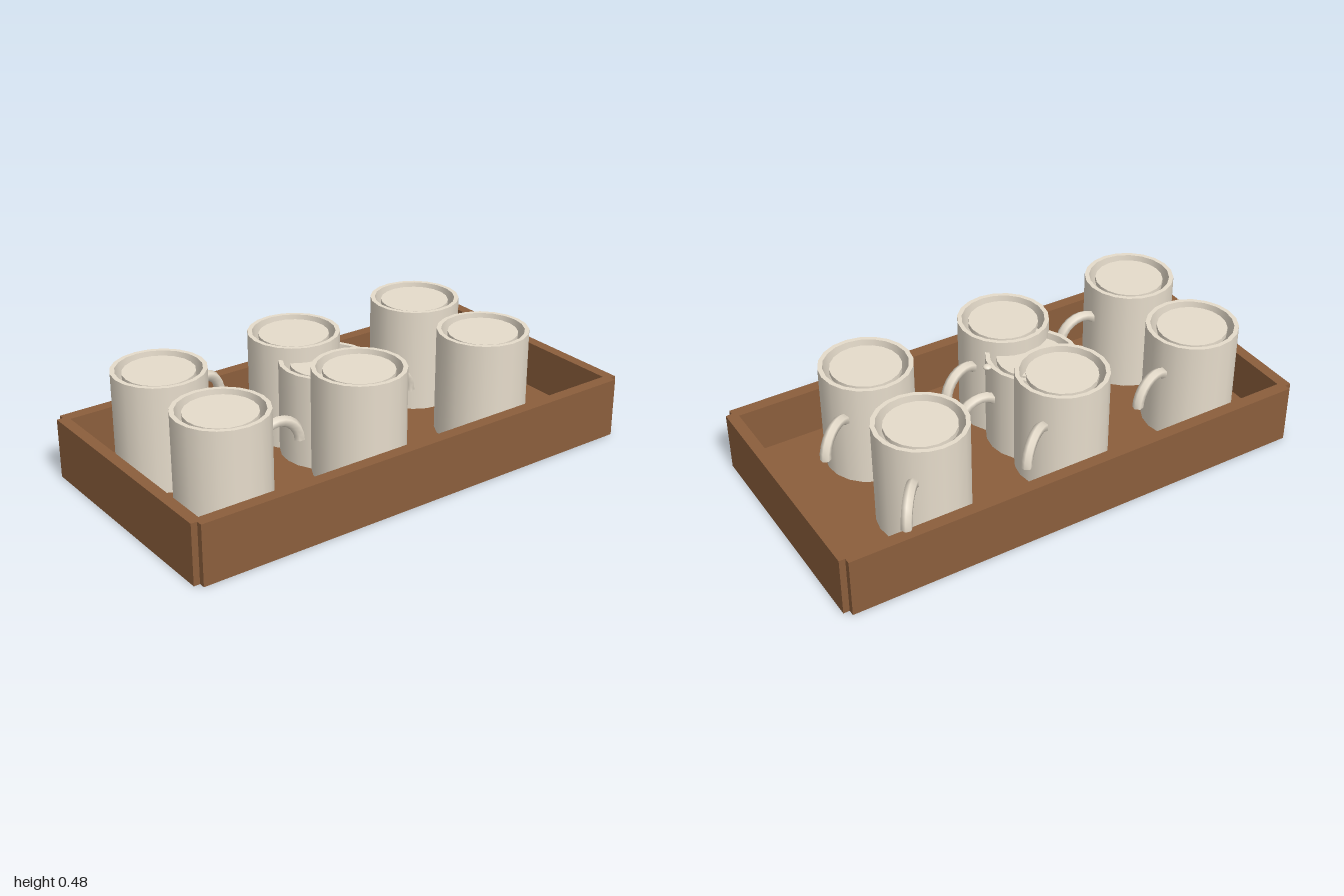
import * as THREE from 'three';

const wood = new THREE.MeshStandardMaterial({ color: 0x8b5e3c });
wood.name = 'wood';
const ceramic = new THREE.MeshStandardMaterial({ color: 0xe6dccb, side: THREE.DoubleSide });
ceramic.name = 'ceramic';

function addMesh(parent, name, geometry, material, x = 0, y = 0, z = 0) {
  const mesh = new THREE.Mesh(geometry, material);
  mesh.name = name;
  mesh.position.set(x, y, z);
  parent.add(mesh);
  return mesh;
}

// Tray: floor with four walls, stepped at the corners
function createTray() {
  const tray = new THREE.Group();
  tray.name = 'tray';
  addMesh(tray, 'trayFloor', new THREE.BoxGeometry(1.95, 0.05, 0.98), wood, 0, 0.025, 0);
  for (const s of [1, -1]) {
    addMesh(tray, s > 0 ? 'frontWall' : 'backWall',
      new THREE.BoxGeometry(1.95, 0.245, 0.05), wood, 0, 0.1225, s * 0.49);
    addMesh(tray, s > 0 ? 'leftWall' : 'rightWall',
      new THREE.BoxGeometry(0.045, 0.245, 0.98), wood, s * 0.9775, 0.1225, 0);
  }
  return tray;
}

// Lathe of separate profile strips, so that corners stay sharp
const SIDES = 20;
const strips = [
  ['cupBase', [0, 0], [0.183, 0]],
  ['cupWall', [0.183, 0], [0.183, 0.43]],
  ['cupRim', [0.183, 0.43], [0.165, 0.43]],
  ['cupInside', [0.165, 0.43], [0.135, 0.02]],
].map(([name, a, b]) => [name,
  new THREE.LatheGeometry([new THREE.Vector2(...a), new THREE.Vector2(...b)], SIDES)]);
const fillGeometry = new THREE.CylinderGeometry(0.139, 0.139, 0.02, SIDES);
const handleGeometry = new THREE.TorusGeometry(0.098, 0.022, 6, 12, Math.PI);

// Mug: hollow body, filling disc and arched handle
function createMug(name, x, y, z, turn) {
  const mug = new THREE.Group();
  mug.name = name;
  for (const [part, geometry] of strips) addMesh(mug, part, geometry, ceramic);
  addMesh(mug, 'filling', fillGeometry, ceramic, 0, 0.41, 0);
  addMesh(mug, 'handle', handleGeometry, ceramic, 0.237, 0.21, 0);
  mug.position.set(x, y, z);
  mug.rotation.y = turn;
  return mug;
}

export function createModel() {
  const model = new THREE.Group();
  model.name = 'mugTray';
  model.add(createTray());

  // Two rows of three mugs, each turned a little further
  for (let col = 0; col < 3; col++) {
    for (let row = 0; row < 2; row++) {
      model.add(createMug('mug', -0.7 + col * 0.61, 0.05, row ? -0.215 : 0.215, (col + row) * 0.3));
    }
  }

  // Sunken middle mug with a small bead at its rim
  model.add(createMug('middleMug', -0.09, -0.001, 0, 0));
  const bead = addMesh(model, 'rimBead', new THREE.SphereGeometry(0.018, 10, 8), ceramic, 0.1, 0.426, 0.02);
  bead.scale.set(1, 0.55, 1);
  return model;
}
